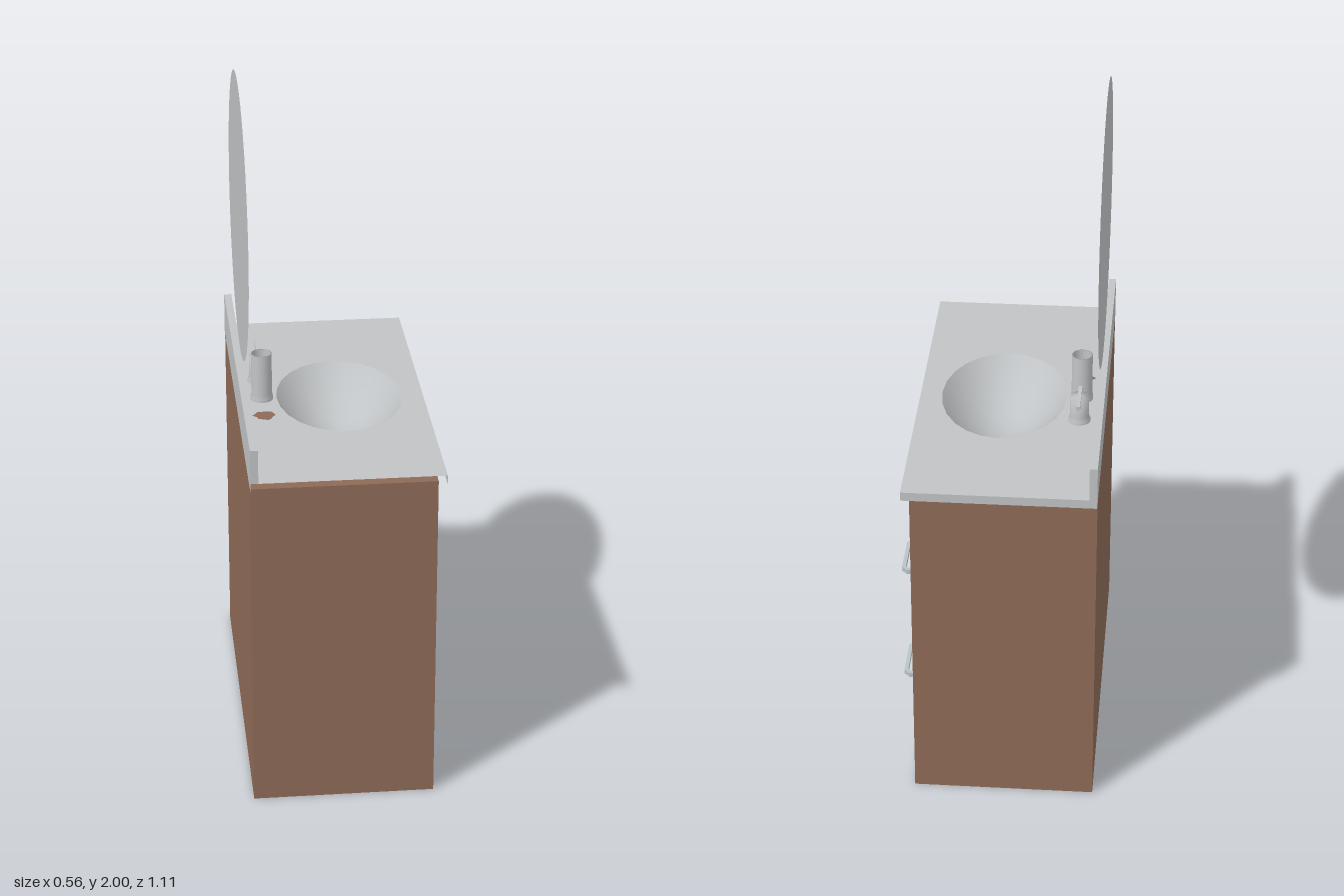
import * as THREE from 'three';

const mat = (name, color) => {
  const m = new THREE.MeshStandardMaterial({ color, side: THREE.DoubleSide });
  m.name = name;
  return m;
};

export function createModel() {
  const wood = mat('brown wood', 0x8e6a57);
  const stone = mat('grey stone', 0xc0c3c5);
  const metal = mat('pale metal', 0xb9c3c9);
  const root = new THREE.Group();
  root.name = 'vanity';

  const add = (name, geo, material, x = 0, y = 0, z = 0, parent = root) => {
    const mesh = new THREE.Mesh(geo, material);
    mesh.name = name;
    mesh.position.set(x, y, z);
    parent.add(mesh);
    return mesh;
  };

  // Ellipse outline in the horizontal plane
  const ring = (cx, cz, rx, rz, n = 24) =>
    Array.from({ length: n }, (_, i) => {
      const a = (i / n) * Math.PI * 2;
      return new THREE.Vector2(cx + rx * Math.cos(a), -cz + rz * Math.sin(a));
    });

  // Horizontal sheet with holes
  const sheet = (x0, x1, halfZ, holes) => {
    const s = new THREE.Shape([
      new THREE.Vector2(x0, -halfZ), new THREE.Vector2(x1, -halfZ),
      new THREE.Vector2(x1, halfZ), new THREE.Vector2(x0, halfZ),
    ]);
    s.holes = holes.map((pts) => new THREE.Path(pts));
    return new THREE.ShapeGeometry(s).rotateX(-Math.PI / 2);
  };

  // Box keeping only chosen sides (0 +x, 1 -x, 2 +y, 3 -y, 4 +z, 5 -z)
  const openBox = (w, h, d, sides) => {
    const g = new THREE.BoxGeometry(w, h, d);
    const idx = Array.from(g.index.array);
    g.setIndex(sides.flatMap((s) => idx.slice(s * 6, s * 6 + 6)));
    g.clearGroups();
    return g;
  };

  const bowlX = 0.018, bowlRX = 0.182, bowlRZ = 0.245, tapX = -0.207;
  const topY = 1.022, cabinetY = 0.996;

  // Cabinet: four walls and a pierced top, open underneath
  add('cabinetWalls', openBox(0.52, cabinetY, 1.07, [0, 1, 4, 5]), wood, -0.02, cabinetY / 2, 0);
  add('cabinetTop', sheet(-0.28, 0.24, 0.535, [ring(bowlX, 0, bowlRX * 0.92, bowlRZ * 0.92)]),
    wood, 0, cabinetY - 0.001, 0);

  // Counter: pierced sheet with a thin skirt, open at the +z end
  const raggedHole = ring(tapX, 0.117, 1, 1, 14).map((p, i) => {
    const r = [0.031, 0.029, 0.032, 0.027, 0.024, 0.031, 0.029, 0.036, 0.026, 0.03, 0.028, 0.034, 0.029, 0.026][i];
    return new THREE.Vector2(tapX + (p.x - tapX) * r, -0.117 + (p.y + 0.117) * r);
  });
  add('counterTop', sheet(-0.28, 0.262, 0.555, [
    ring(bowlX, 0, bowlRX, bowlRZ), ring(tapX, 0, 0.028, 0.028), raggedHole,
  ]), stone, 0, topY, 0);
  add('counterSkirt', openBox(0.542, topY - cabinetY, 1.11, [0, 1, 5]),
    stone, -0.009, (topY + cabinetY) / 2, 0);
  add('backsplash', new THREE.BoxGeometry(0.022, 0.1, 1.11), stone, -0.269, 1.072, 0);

  // Basin: shallow oval bowl
  const depth = 0.125;
  const profile = Array.from({ length: 13 }, (_, i) => {
    const r = i / 12;
    return new THREE.Vector2(r, -depth * (1 - r * r));
  });
  add('basin', new THREE.LatheGeometry(profile, 24), stone, bowlX, topY, 0)
    .scale.set(bowlRX, 1, bowlRZ);

  // Spout: hollow upright tube with a slightly wider foot
  const spout = [[0.027, 0], [0.027, 0.143], [0.03, 0.143], [0.03, 0.02], [0.033, 0.008], [0.033, 0]];
  add('spout', new THREE.LatheGeometry(spout.map(([r, y]) => new THREE.Vector2(r, y)), 24),
    stone, tapX, topY, 0);

  // Tap with lever
  const tap = new THREE.Group();
  tap.name = 'tap';
  tap.position.set(tapX, topY, -0.127);
  root.add(tap);
  add('tapBody', new THREE.LatheGeometry(
    [[0.032, 0], [0.032, 0.006], [0.027, 0.02], [0.027, 0.08], [0, 0.08]]
      .map(([r, y]) => new THREE.Vector2(r, y)), 24), stone, 0, 0, 0, tap);
  add('tapLever', new THREE.BoxGeometry(0.011, 0.012, 0.118), stone, 0, 0.086, -0.024, tap);

  // Pull handles: chamfered bracket standing off the +x face
  const outer = [[0, -0.08], [0.022, -0.08], [0.038, -0.064], [0.038, 0.064], [0.022, 0.08], [0, 0.08]];
  const inner = [[0, 0.068], [0.018, 0.068], [0.027, 0.059], [0.027, -0.059], [0.018, -0.068], [0, -0.068]];
  const pull = new THREE.ExtrudeGeometry(
    new THREE.Shape([...outer, ...inner].map(([x, y]) => new THREE.Vector2(x, y))),
    { depth: 0.014, bevelEnabled: false }).translate(0, 0, -0.007);
  for (const z of [0.128, 0.222]) add('doorHandle', pull, metal, 0.24, 0.61, z);
  for (const y of [0.32, 0.68]) add('drawerHandle', pull, metal, 0.24, y, -0.356).rotation.x = Math.PI / 2;

  // Round wall mirror
  add('mirror', new THREE.CircleGeometry(0.41, 48).rotateY(Math.PI / 2), stone, -0.267, 1.59, 0);

  return root;
}
